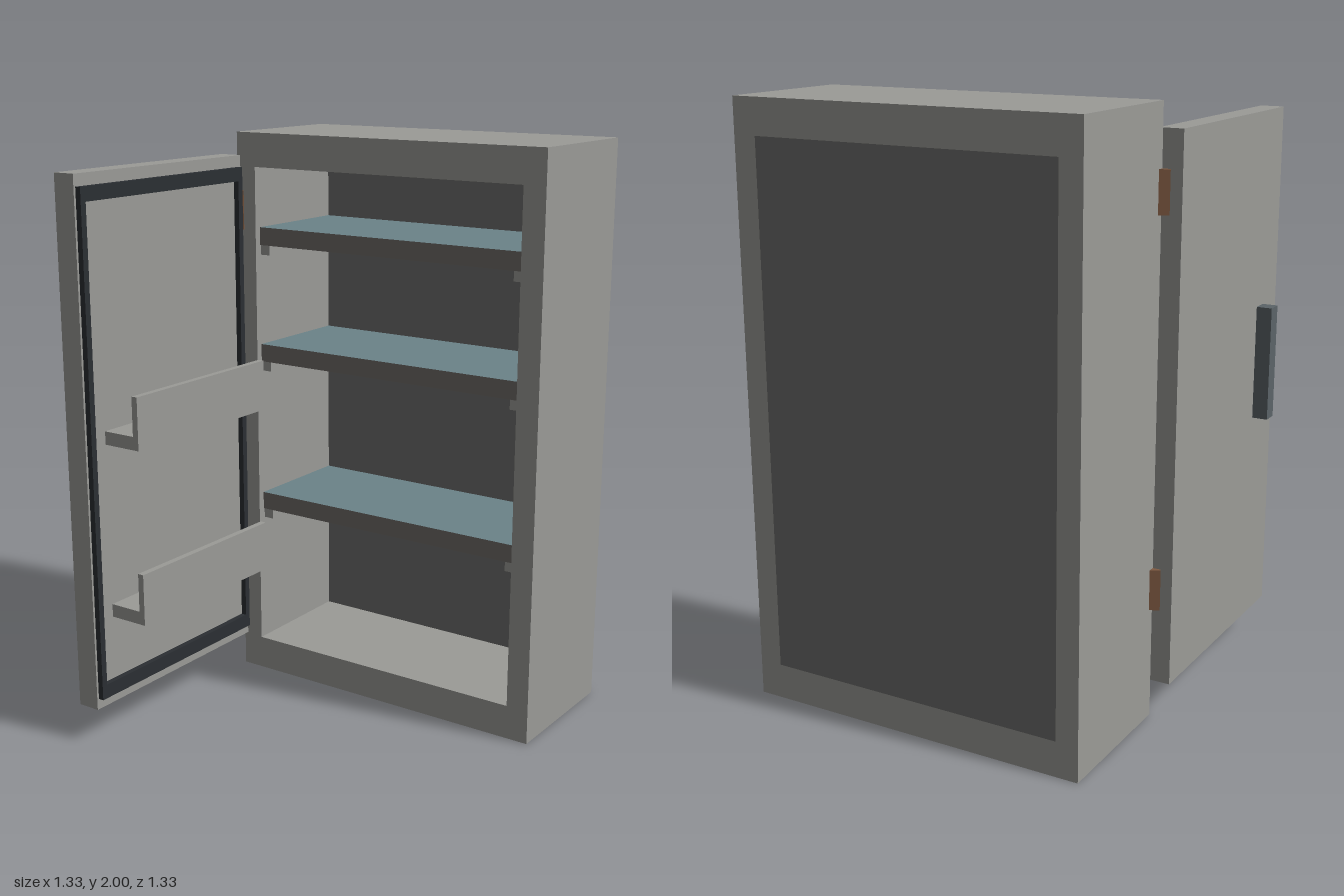
import * as THREE from 'three';

const grey = new THREE.MeshStandardMaterial({ color: 0x9b9b97 });
const steel = new THREE.MeshStandardMaterial({ color: 0x6e6e6d });
const shelfEdge = new THREE.MeshStandardMaterial({ color: 0x706b68 });
const shelfTop = new THREE.MeshStandardMaterial({ color: 0x6b8389 });
const handleSteel = new THREE.MeshStandardMaterial({ color: 0x5b6468 });
const rubber = new THREE.MeshStandardMaterial({ color: 0x2b2f33 });
const copper = new THREE.MeshStandardMaterial({ color: 0x7f5a42 });

// One material per box side: the upper side (+y) differs from the rest
const shelfSides = [shelfEdge, shelfEdge, shelfTop, shelfEdge, shelfEdge, shelfEdge];

// Box given by its lower and upper limits on each axis
function box(name, x0, x1, y0, y1, z0, z1, material = grey) {
  const mesh = new THREE.Mesh(new THREE.BoxGeometry(x1 - x0, y1 - y0, z1 - z0), material);
  mesh.position.set((x0 + x1) / 2, (y0 + y1) / 2, (z0 + z1) / 2);
  mesh.name = name;
  return mesh;
}

function rectangle(PathType, x0, x1, y0, y1) {
  return new PathType([[x0, y0], [x1, y0], [x1, y1], [x0, y1]].map((p) => new THREE.Vector2(...p)));
}

// Rectangular frame extruded along z; outer and inner are [x0, x1, y0, y1]
function frame(name, outer, inner, depth, material) {
  const shape = rectangle(THREE.Shape, ...outer);
  shape.holes.push(rectangle(THREE.Path, ...inner));
  const mesh = new THREE.Mesh(new THREE.ExtrudeGeometry(shape, { depth, bevelEnabled: false }), material);
  mesh.name = name;
  return mesh;
}

function createCabinet() {
  const cabinet = new THREE.Group();
  cabinet.name = 'cabinet';

  // Walls, with the back panel set flush into them
  const walls = frame('walls', [-0.545, 0.665, 0, 2], [-0.468, 0.585, 0.12, 1.882], 0.505, grey);
  walls.position.z = -0.665;
  cabinet.add(walls, box('backPanel', -0.468, 0.585, 0.12, 1.882, -0.665, -0.605, steel));

  // Shelves on side rails
  for (const y of [0.627, 1.186, 1.607]) {
    cabinet.add(
      box('shelf', -0.468, 0.585, y, y + 0.063, -0.605, -0.185, shelfSides),
      box('rightShelfRail', -0.468, -0.43, y - 0.035, y, -0.6, -0.19),
      box('leftShelfRail', 0.545, 0.585, y - 0.035, y, -0.6, -0.19),
    );
  }
  return cabinet;
}

function createDoor() {
  const door = new THREE.Group();
  door.name = 'openDoor';
  door.add(
    box('doorPanel', -0.613, -0.532, 0.125, 1.92, -0.16, 0.665),
    box('handle', -0.667, -0.613, 0.863, 1.258, 0.49, 0.545, handleSteel),
  );

  // Seal around the inner face, turned so its depth runs along x
  const seal = frame('doorSeal', [-0.657, 0.145, 0.163, 1.88], [-0.635, 0.123, 0.212, 1.833], 0.02, rubber);
  seal.rotation.y = Math.PI / 2;
  seal.position.x = -0.532;
  door.add(seal);

  // L-shaped door racks
  for (const y of [0.443, 1.043]) {
    const profile = new THREE.Shape([
      [-0.515, 0], [-0.372, 0], [-0.372, 0.178], [-0.394, 0.178], [-0.394, 0.045], [-0.515, 0.045],
    ].map((p) => new THREE.Vector2(...p)));
    const rack = new THREE.Mesh(
      new THREE.ExtrudeGeometry(profile, { depth: 0.66, bevelEnabled: false }), grey);
    rack.position.set(0, y, -0.07);
    rack.name = 'doorRack';
    door.add(rack);
  }
  return door;
}

export function createModel() {
  const model = new THREE.Group();
  model.name = 'refrigerator';
  model.add(createCabinet(), createDoor());

  // Hinges, turned part way between cabinet and door
  for (const y of [0.381, 1.661]) {
    const hinge = box('hinge', -0.57, -0.522, y, y + 0.138, -0.18, -0.142, copper);
    hinge.rotation.y = THREE.MathUtils.degToRad(27);
    model.add(hinge);
  }
  return model;
}
